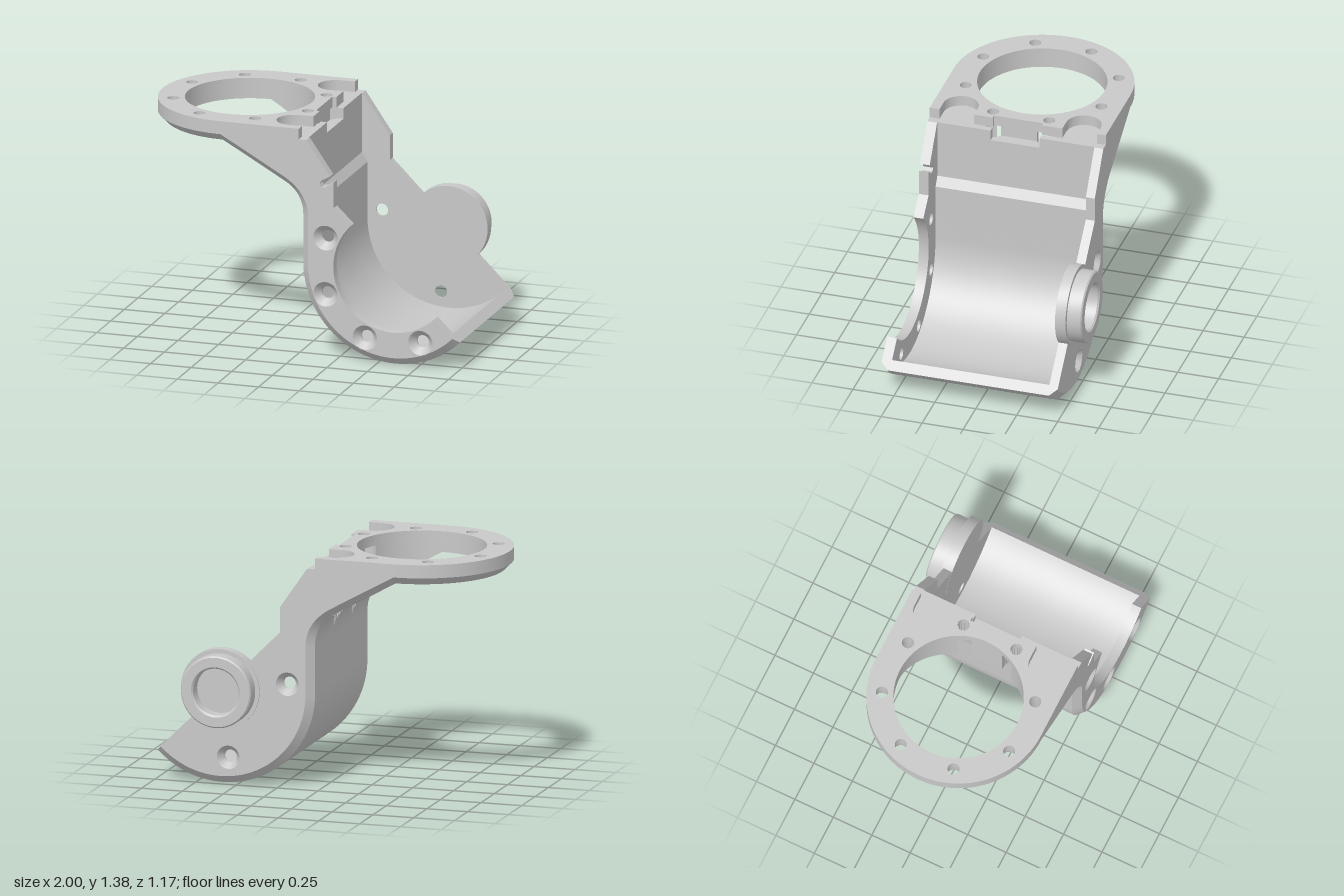
import * as THREE from 'three';
import { toCreasedNormals } from 'three/addons/utils/BufferGeometryUtils.js';

const V = (x, y) => new THREE.Vector2(x, y);
const pts = (...a) => a.map(([x, y]) => V(x, y));
const CX = 0.6, CY = 0.565;          // cradle axis
const RX = -0.46, RV = -0.0475;      // ring centre in plan (v = -z)
const TOP = 1.385, FLOOR = 1.321, BOTTOM = 1.261;

// Points on an arc, angles in degrees
function arc(cx, cy, r, a0, a1, n = 40) {
  return Array.from({ length: n + 1 }, (_, i) => {
    const a = THREE.MathUtils.degToRad(a0 + (a1 - a0) * i / n);
    return V(cx + r * Math.cos(a), cy + r * Math.sin(a));
  });
}
const circle = (cx, cy, r, n = 24) => arc(cx, cy, r, 0, 360 - 360 / n, n - 1);

// Solid through stacked layers { c: contour, h: holes, w: height or function of the point }
function loft(layers, flat) {
  const pos = [];
  const put = (p, w) => {
    const k = typeof w === 'function' ? w(p) : w;
    if (flat) pos.push(p.x, k, -p.y); else pos.push(p.x, p.y, k);
  };
  const wind = (loop, ccw) => (THREE.ShapeUtils.isClockWise(loop) === ccw ? loop.slice().reverse() : loop);
  const L = layers.map(l => ({ w: l.w, loops: [wind(l.c, true), ...(l.h || []).map(h => wind(h, false))] }));
  for (let k = 0; k + 1 < L.length; k++) {
    const A = L[k], B = L[k + 1];
    A.loops.forEach((a, m) => {
      const b = B.loops[m];
      a.forEach((_, i) => {
        const j = (i + 1) % a.length;
        put(a[i], A.w); put(a[j], A.w); put(b[j], B.w);
        put(a[i], A.w); put(b[j], B.w); put(b[i], B.w);
      });
    });
  }
  [[L[0], true], [L[L.length - 1], false]].forEach(([l, flip]) => {
    const all = l.loops.flat();
    THREE.ShapeUtils.triangulateShape(l.loops[0], l.loops.slice(1)).forEach(f => {
      (flip ? [f[2], f[1], f[0]] : f).forEach(i => put(all[i], l.w));
    });
  });
  const g = new THREE.BufferGeometry();
  g.setAttribute('position', new THREE.Float32BufferAttribute(pos, 3));
  return toCreasedNormals(g, 0.5);
}

// Outer underside of the arm from the cradle lip up to the ring wedge, inset by d
function outer(d) {
  const k = d / 0.045;
  const bend = new THREE.QuadraticBezierCurve(
    V(0.035 + d, 0.85), V(0.035 + d, 0.984 + 0.02 * k), V(-0.08, 1.048 + 0.045 * k));
  return [...arc(CX, CY, 0.565 - d, 315, 180, 48), ...bend.getPoints(14)];
}

export function createModel() {
  const group = new THREE.Group();
  const metal = new THREE.MeshStandardMaterial({ color: 0xc8c8c8 });
  metal.name = 'light grey metal';
  const add = (name, geo) => {
    const m = new THREE.Mesh(geo, metal);
    m.name = name;
    group.add(m);
  };
  const bores = (list, r) => list.map(p => circle(p.x, p.y, r));

  // Front wall with half-round opening, slot and countersunk screw holes
  const wallTop = pts([-0.08, FLOOR], [0.07, FLOOR]);
  const front = d => [...outer(d), ...wallTop,
    ...pts([0.214, 1.113], [0.165, 1.085], [0.148, 1.06], [0.16, 1.04], [0.185, 1.045],
      [0.237, 1.078], [0.237, 0.923]),
    ...arc(CX, CY, 0.365, 135, 315, 48)];
  const screws = [157.5, 202.5, 247.5, 292.5].map(a => arc(CX, CY, 0.447, a, a, 1)[0]);
  add('frontWall', loft([
    { c: front(0), h: bores(screws, 0.037), w: 0.525 },
    { c: front(0), h: bores(screws, 0.037), w: 0.54 },
    { c: front(0.045), h: bores(screws, 0.075), w: 0.585 },
  ]));

  // Solid back wall with two countersunk holes
  const back = d => [...outer(d), ...wallTop, ...pts([0.237, 1.078], [0.237, 0.928])];
  const backScrews = pts([0.19, 0.622], [0.553, 0.16]);
  add('backWall', loft([
    { c: back(0.045), h: bores(backScrews, 0.07), w: -0.49 },
    { c: back(0), h: bores(backScrews, 0.037), w: -0.445 },
    { c: back(0), h: bores(backScrews, 0.037), w: -0.435 },
  ]));

  // Ring bolt positions; two of them are counterbored up through the arm
  const bolts = [0, 1, 2, 3, 4, 5, 6, 7].map(i => arc(RX, RV, 0.448, 22.5 + 45 * i, 22.5 + 45 * i, 1)[0]);
  const BORE = 0.075, STEPS = 16;
  const armBolts = [bolts[0], bolts[7]];

  // Curved shell between the walls, sliced along z to form the notch and the counterbores
  const cuts = [-0.435, -0.1, 0.2, 0.525];
  armBolts.forEach(b => {
    for (let i = 0; i <= STEPS; i++) cuts.push(-b.y - BORE * Math.cos(Math.PI * i / STEPS));
  });
  cuts.sort((a, b) => a - b);
  for (let i = 0; i + 1 < cuts.length; i++) {
    const mid = (cuts[i] + cuts[i + 1]) / 2;
    const notched = mid > -0.1 && mid < 0.2;
    const top = notched ? 1.257 : FLOOR;
    const bolt = armBolts.find(b => Math.abs(mid + b.y) < BORE);
    const left = bolt ? Math.max(-0.08, bolt.x + Math.sqrt(BORE ** 2 - (mid + bolt.y) ** 2)) : -0.08;
    const under = outer(0).filter(p => p.x > left);
    const c = [...under, V(left, under[under.length - 1].y + 0.004),
      ...(notched && left < -0.003 ? pts([left, FLOOR], [-0.003, FLOOR], [-0.003, top]) : pts([left, top])),
      ...pts([0.065, top], [0.065, 0.96], [0.1, 0.905]),
      ...arc(CX, CY, 0.5, 180, 315, 48)];
    add('cradleShell', loft([{ c, w: cuts[i] }, { c, w: cuts[i + 1] }]));
  }

  // Pivot boss on the back, with a recessed socket
  const boss = new THREE.LatheGeometry(pts(
    [0, 0.434], [0.24, 0.434], [0.24, 0.498], [0.215, 0.498], [0.215, 0.579],
    [0.207, 0.587], [0.15, 0.587], [0.14, 0.577], [0.14, 0.5], [0, 0.5]), 56);
  boss.rotateX(-Math.PI / 2);
  boss.translate(CX, CY, 0);
  add('pivotBoss', toCreasedNormals(boss, 0.5));

  // Ring plate with bolt holes, two screw pockets and a centre notch
  const pocket = v => [V(0.022, v - 0.105), ...arc(-0.06, v, 0.105, 270, 90, 20), V(0.022, v + 0.105)];
  const plate = [V(0.022, -0.585), ...pocket(-0.42),
    ...pts([0.022, -0.2], [-0.003, -0.2], [-0.003, 0.1], [0.022, 0.1]),
    ...pocket(0.33), V(0.022, 0.49), ...arc(RX, RV, 0.5375, 90, 270, 48)];
  const plateHoles = [circle(RX, RV, 0.38, 96), ...bores(bolts, 0.035)];
  add('ringPlate', loft([
    { c: plate, h: plateHoles, w: FLOOR },
    { c: plate, h: plateHoles, w: TOP },
  ], true));

  // Chamfered underside of the outer half of the ring, one sector per bolt
  for (let i = 2; i < 6; i++) {
    const a = 45 * i, h = r => bores([bolts[i]], r);
    const sector = r => [...arc(RX, RV, r, a, a + 45, 12), ...arc(RX, RV, 0.38, a + 45, a, 12)];
    add('ringUnderside', loft([
      { c: sector(0.4925), h: h(0.042), w: BOTTOM },
      { c: sector(0.5375), h: h(0.035), w: BOTTOM + 0.045 },
      { c: sector(0.5375), h: h(0.035), w: FLOOR },
    ], true));
  }

  // Sloping wedges joining the ring to the arm, scooped where the counterbores pass
  const slope = p => BOTTOM - (p.x - RX) * 0.56;
  [1, -1].forEach(s => {
    const b = armBolts[s > 0 ? 0 : 1];
    const wedge = e => [...arc(RX, RV, 0.38, 90 * s, 27 * s, 24),
      ...arc(b.x, b.y, BORE, 178 * s, 117 * s, 8),
      V(-0.08, RV + s * e), V(RX, RV + s * e)];
    const h = r => bores([bolts[s > 0 ? 1 : 6]], r);
    add('ringWedge', loft([
      { c: wedge(0.4925), h: h(0.05), w: slope },
      { c: wedge(0.5375), h: h(0.035), w: p => slope(p) + 0.045 },
      { c: wedge(0.5375), h: h(0.035), w: FLOOR },
    ], true));
  });
  return group;
}
